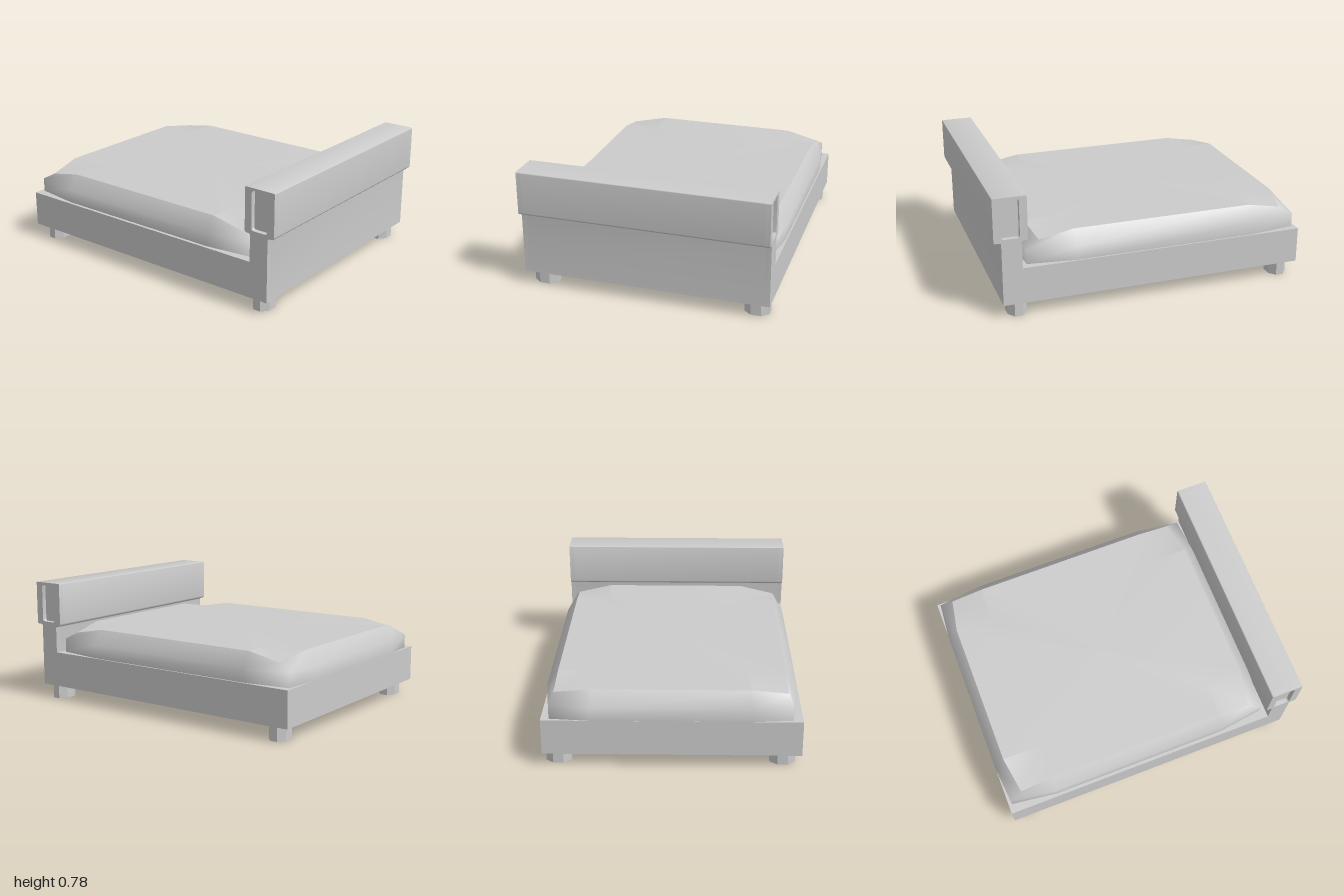
import * as THREE from 'three';
import { toCreasedNormals } from 'three/addons/utils/BufferGeometryUtils.js';

const grey = new THREE.MeshStandardMaterial({ color: 0xcccccc });
const HALF = 0.79; // half width of bed
const RECESS = 0.03;

function add(group, name, geometry, x = 0, y = 0, z = 0) {
  const mesh = new THREE.Mesh(geometry, grey);
  mesh.name = name;
  mesh.position.set(x, y, z);
  group.add(mesh);
  return mesh;
}

// Upright post with a wider, softly rounded bolster on top
function headboardShape() {
  const s = new THREE.Shape();
  s.moveTo(0.83, 0.09);
  s.lineTo(0.955, 0.09);
  s.lineTo(0.955, 0.485);
  s.quadraticCurveTo(0.955, 0.5, 0.97, 0.5);
  s.lineTo(0.985, 0.5);
  s.quadraticCurveTo(1, 0.5, 1, 0.515);
  s.lineTo(1, 0.775);
  s.quadraticCurveTo(1, 0.783, 0.992, 0.783);
  s.lineTo(0.8, 0.783);
  s.quadraticCurveTo(0.792, 0.783, 0.792, 0.775);
  s.lineTo(0.792, 0.515);
  s.quadraticCurveTo(0.792, 0.5, 0.807, 0.5);
  s.lineTo(0.815, 0.5);
  s.quadraticCurveTo(0.83, 0.5, 0.83, 0.485);
  s.closePath();
  return s;
}

// Rounded rectangular opening in each end of the bolster
function recessPath() {
  const [l, r, b, t, c] = [0.84, 0.95, 0.52, 0.767, 0.015];
  const p = new THREE.Path();
  p.moveTo(l + c, b);
  p.quadraticCurveTo(l, b, l, b + c);
  p.lineTo(l, t - c);
  p.quadraticCurveTo(l, t, l + c, t);
  p.lineTo(r - c, t);
  p.quadraticCurveTo(r, t, r, t - c);
  p.lineTo(r, b + c);
  p.quadraticCurveTo(r, b, r - c, b);
  p.closePath();
  return p;
}

function extrude(shape, depth) {
  const g = new THREE.ExtrudeGeometry(shape, { depth, bevelEnabled: false, curveSegments: 4 });
  return toCreasedNormals(g, 0.7);
}

// Twelve-point outline: three points per corner, with the corner point set apart
function outline(side, corner, end, y, cornerY) {
  const cx = -0.0925, cz = -0.005;
  const ring = [];
  for (const [sx, sz] of [[1, 1], [1, -1], [-1, -1], [-1, 1]]) {
    const three = [[...end, y], [...corner, cornerY], [...side, y]];
    if (sx * sz < 0) three.reverse();
    for (const [x, z, h] of three) ring.push([cx + sx * x, h, cz + sz * z]);
  }
  return ring;
}

function loft(rings) {
  const n = rings[0].length, index = [];
  for (let r = 0; r < rings.length - 1; r++) {
    for (let i = 0; i < n; i++) {
      const a = r * n + i, b = r * n + (i + 1) % n;
      index.push(a, b, b + n, a, b + n, a + n);
    }
  }
  const g = new THREE.BufferGeometry();
  g.setAttribute('position', new THREE.Float32BufferAttribute(rings.flat(2), 3));
  g.setIndex(index);
  g.computeVertexNormals();
  return g;
}

function createMattress() {
  const group = new THREE.Group();
  group.name = 'mattress';
  // side / corner / end points as half extents in x and z
  const low = outline([0.907, 0.49], [0.885, 0.735], [0.585, 0.775], 0.32, 0.32);
  const mid = outline([0.907, 0.49], [0.885, 0.735], [0.585, 0.775], 0.405, 0.41);
  const top = outline([0.838, 0.48], [0.8, 0.71], [0.585, 0.705], 0.497, 0.457);
  const inner = outline([0.838, 0.48], [0.585, 0.48], [0.585, 0.705], 0.497, 0.497);
  const centre = Array.from({ length: 12 }, () => [-0.0925, 0.497, -0.005]);
  // Make every ring run counter-clockwise seen from above
  add(group, 'mattressSides', loft([low, mid, top]));
  add(group, 'mattressTop', loft([top, inner, centre]));
  return group;
}

export function createModel() {
  const bed = new THREE.Group();
  bed.name = 'bed';

  // Platform
  add(bed, 'bedFrame', new THREE.BoxGeometry(1.83, 0.23, HALF * 2), -0.085, 0.205, 0);

  bed.add(createMattress());

  // Headboard: solid core with an open-framed slice at each end
  const headboard = new THREE.Group();
  headboard.name = 'headboard';
  const depth = (HALF - RECESS) * 2;
  add(headboard, 'headboardCore', extrude(headboardShape(), depth), 0, 0, -depth / 2);
  const framed = headboardShape();
  framed.holes.push(recessPath());
  const endGeometry = extrude(framed, RECESS);
  add(headboard, 'headboardFrontEnd', endGeometry, 0, 0, HALF - RECESS);
  add(headboard, 'headboardBackEnd', endGeometry, 0, 0, -HALF);
  bed.add(headboard);

  // Short octagonal feet, slightly longer across the bed
  const foot = new THREE.CylinderGeometry(1, 1, 0.09, 8).rotateY(Math.PI / 8);
  const footGeometry = toCreasedNormals(foot.scale(0.065, 1, 0.084), 0.3);
  for (const x of [-0.895, 0.86]) {
    for (const z of [0.678, -0.698]) add(bed, 'foot', footGeometry, x, 0.045, z);
  }
  return bed;
}
